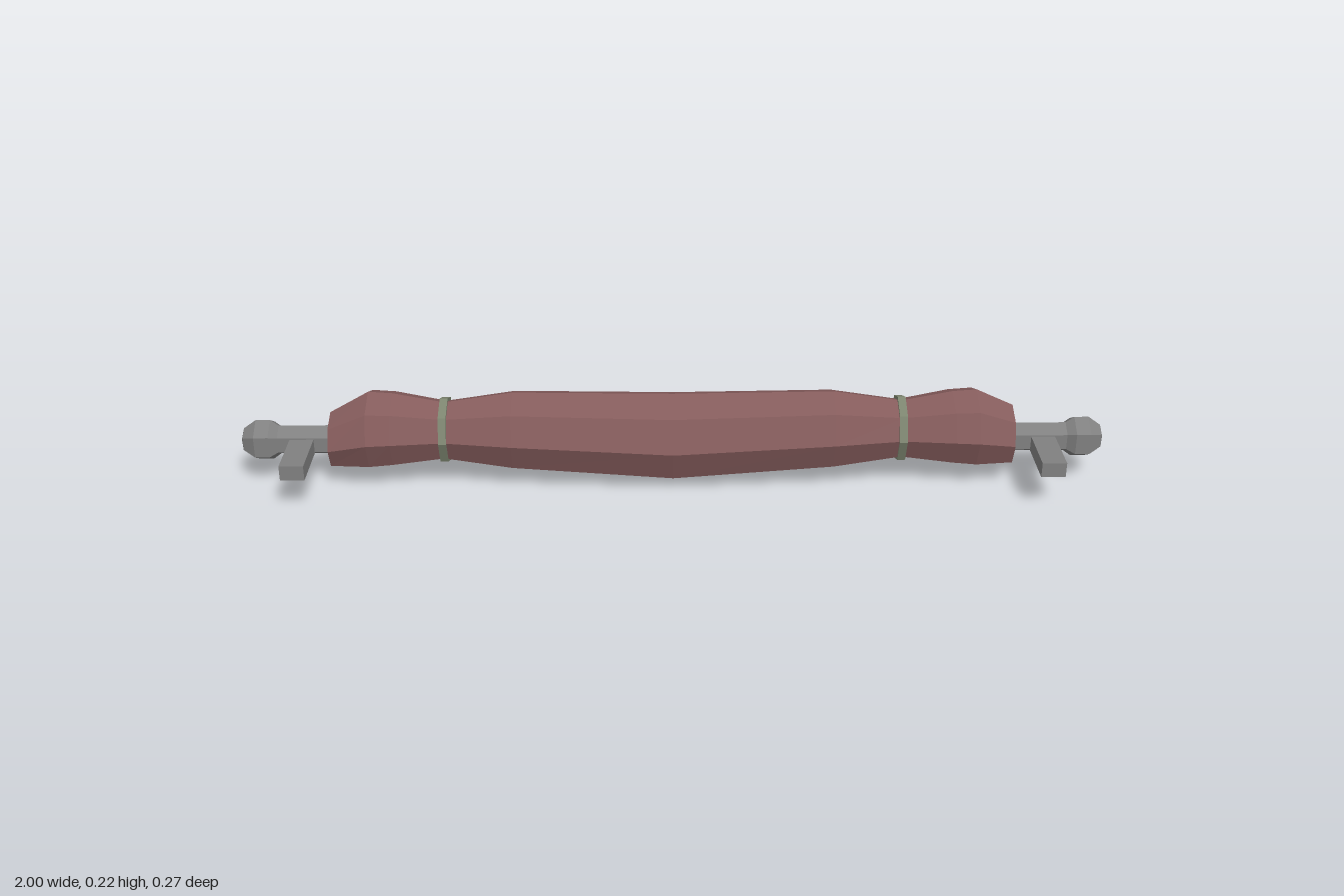
import * as THREE from 'three';

const AXIS_Y = 0.105, AXIS_Z = -0.026;

const material = (color) => new THREE.MeshStandardMaterial({ color, flatShading: true, side: THREE.DoubleSide });

// Skin a row of rings along x; each ring is [x, bottom, top, back, front]
function loft(rings, sides) {
  const pos = [], index = [];
  for (const [x, bottom, top, back, front] of rings) {
    for (let j = 0; j < sides; j++) {
      const a = (j / sides) * Math.PI * 2;
      pos.push(x,
        (top + bottom) / 2 + Math.cos(a) * (top - bottom) / 2,
        (front + back) / 2 + Math.sin(a) * (front - back) / 2);
    }
  }
  for (let i = 0; i < rings.length - 1; i++) {
    for (let j = 0; j < sides; j++) {
      const k = (j + 1) % sides;
      const a = i * sides + j, b = i * sides + k, c = a + sides, d = b + sides;
      index.push(a, b, c, b, d, c);
    }
  }
  const geo = new THREE.BufferGeometry();
  geo.setAttribute('position', new THREE.Float32BufferAttribute(pos, 3));
  geo.setIndex(index);
  geo.computeVertexNormals();
  return geo;
}

// Round ring centred on the rod axis
const round = (x, r) => [x, AXIS_Y - r, AXIS_Y + r, AXIS_Z - r, AXIS_Z + r];

export function createModel() {
  const group = new THREE.Group();
  const metal = material(0x808080);
  const fabric = material(0x855c5c);
  const cord = material(0x7d8570);

  const add = (name, geo, mat, x = 0, y = 0, z = 0) => {
    const mesh = new THREE.Mesh(geo, mat);
    mesh.name = name;
    mesh.position.set(x, y, z);
    group.add(mesh);
    return mesh;
  };

  // Rolled fabric, pinched at the ties and tucked in around the rod at both ends
  add('rolledFabric', loft([
    round(-0.765, 0.034),
    [-0.79, 0.04, 0.172, -0.105, 0.042],
    [-0.70, 0.035, 0.222, -0.131, 0.061],
    [-0.645, 0.04, 0.218, -0.127, 0.057],
    [-0.527, 0.056, 0.196, -0.104, 0.04],
    [-0.37, 0.031, 0.219, -0.129, 0.061],
    [0, 0.003, 0.215, -0.137, 0.072],
    [0.37, 0.031, 0.219, -0.129, 0.061],
    [0.527, 0.056, 0.196, -0.104, 0.04],
    [0.645, 0.04, 0.218, -0.127, 0.057],
    [0.70, 0.035, 0.222, -0.131, 0.061],
    [0.785, 0.04, 0.184, -0.105, 0.042],
    round(0.765, 0.034),
  ], 8), fabric);

  // Six-sided rod
  add('rod', loft([round(-0.92, 0.036), round(0.92, 0.036)], 6), metal);

  for (const [side, s] of [['left', 1], ['right', -1]]) {
    // Faceted knob on the rod end
    const knob = new THREE.LatheGeometry([
      [0, 0.895], [0.03, 0.903], [0.05, 0.93], [0.05, 0.963], [0.029, 0.992], [0, 1],
    ].map(([r, x]) => new THREE.Vector2(r, x)), 6);
    knob.rotateY(Math.PI / 2);
    knob.rotateZ(-s * Math.PI / 2);
    add(side + 'Knob', knob, metal, 0, AXIS_Y, AXIS_Z);

    // Wall bracket
    add(side + 'Bracket', new THREE.BoxGeometry(0.055, 0.035, 0.163), metal, s * 0.855, 0.102, 0.0555);

    // Tie band around the pinch
    const x = s * 0.527;
    add(side + 'Tie', loft([
      [x - 0.009, 0.054, 0.198, -0.106, 0.042],
      [x - 0.009, 0.048, 0.206, -0.111, 0.048],
      [x + 0.009, 0.048, 0.206, -0.111, 0.048],
      [x + 0.009, 0.054, 0.198, -0.106, 0.042],
    ], 8), cord);
  }

  // Loose end of one tie
  add('tieTail', new THREE.BoxGeometry(0.016, 0.06, 0.005), cord, 0.527, 0.065, -0.082);

  return group;
}
